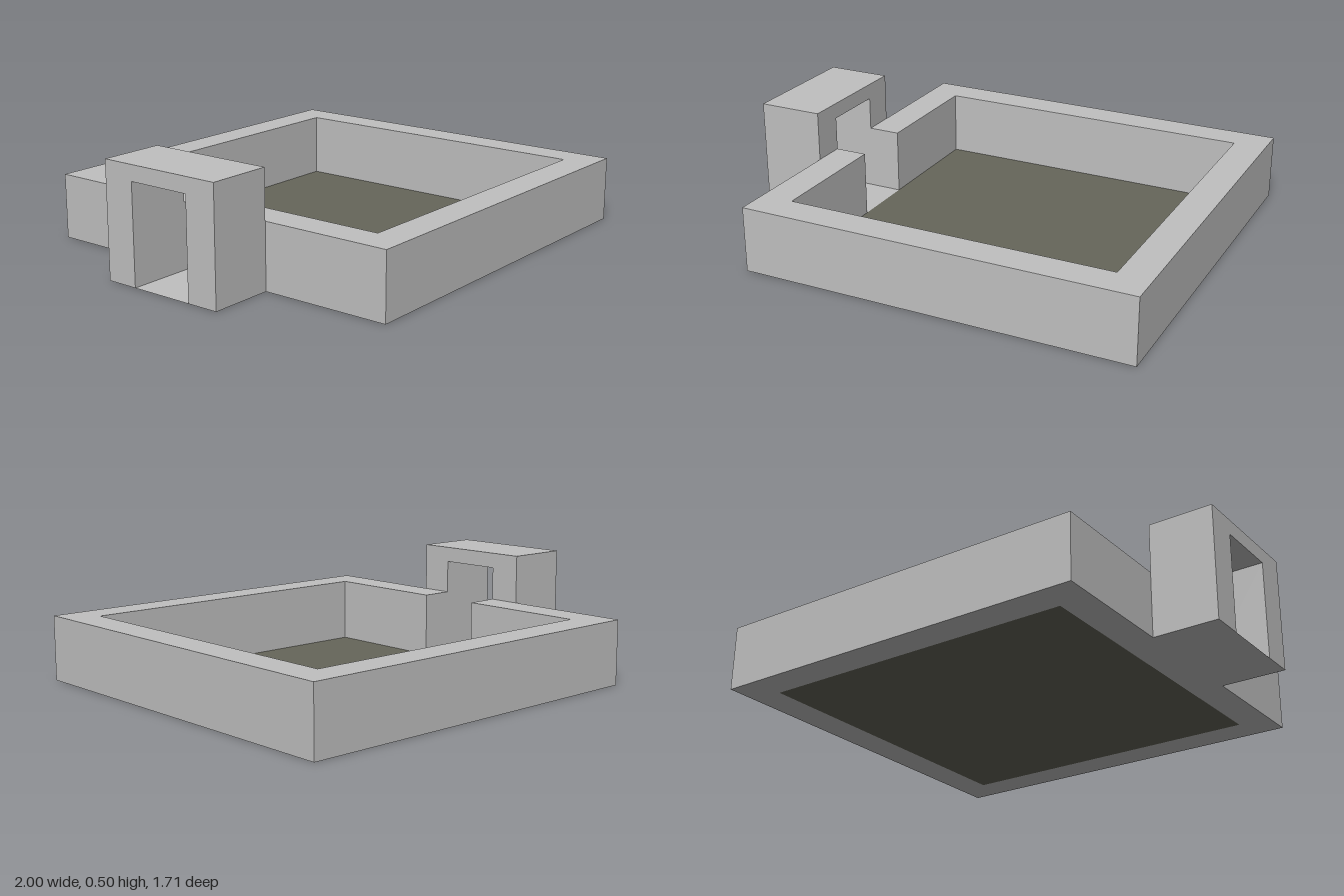
import * as THREE from 'three';

const U = 1 / 7; // wall thickness; every plan dimension is a multiple of it
const GATE_HEIGHT = 0.5;
const LINTEL = 0.068;

export function createModel() {
  const group = new THREE.Group();
  const stone = new THREE.MeshStandardMaterial({ color: 0xc0c0c0, side: THREE.DoubleSide });
  stone.name = 'grey stone';
  const earth = new THREE.MeshStandardMaterial({ color: 0x66665a, side: THREE.DoubleSide });
  earth.name = 'dark olive ground';

  const add = (name, geometry, material) => {
    const mesh = new THREE.Mesh(geometry, material);
    mesh.name = name;
    group.add(mesh);
  };
  const extrude = (points, depth) => new THREE.ExtrudeGeometry(
    new THREE.Shape(points.map(([x, y]) => new THREE.Vector2(x, y))),
    { depth, bevelEnabled: false });

  // Enclosing wall: a square ring, open at the gateway on the -x side
  const outer = 6 * U, inner = 5 * U, left = -5 * U, right = 1;
  const walls = extrude([
    [left, -U], [left, -outer], [right, -outer], [right, outer], [left, outer], [left, U],
    [left + U, U], [left + U, inner], [right - U, inner],
    [right - U, -inner], [left + U, -inner], [left + U, -U],
  ], 2 * U);
  walls.rotateX(-Math.PI / 2);
  add('enclosingWall', walls, stone);

  // Taller gateway with a rectangular passage
  const top = GATE_HEIGHT - LINTEL;
  const gate = extrude([
    [-2 * U, 0], [-U, 0], [-U, top], [U, top], [U, 0], [2 * U, 0],
    [2 * U, GATE_HEIGHT], [-2 * U, GATE_HEIGHT],
  ], 2 * U);
  gate.rotateY(Math.PI / 2).translate(-1, 0, 0);
  add('gateway', gate, stone);

  // Flat floors, level with the base of the walls
  const floor = (x0, x1, halfDepth) => new THREE.PlaneGeometry(x1 - x0, 2 * halfDepth)
    .rotateX(-Math.PI / 2).translate((x0 + x1) / 2, 0, 0);
  add('courtyardFloor', floor(left + U, right - U, inner), earth);
  add('passageFloor', floor(-1, left + U, U), stone);

  return group;
}
